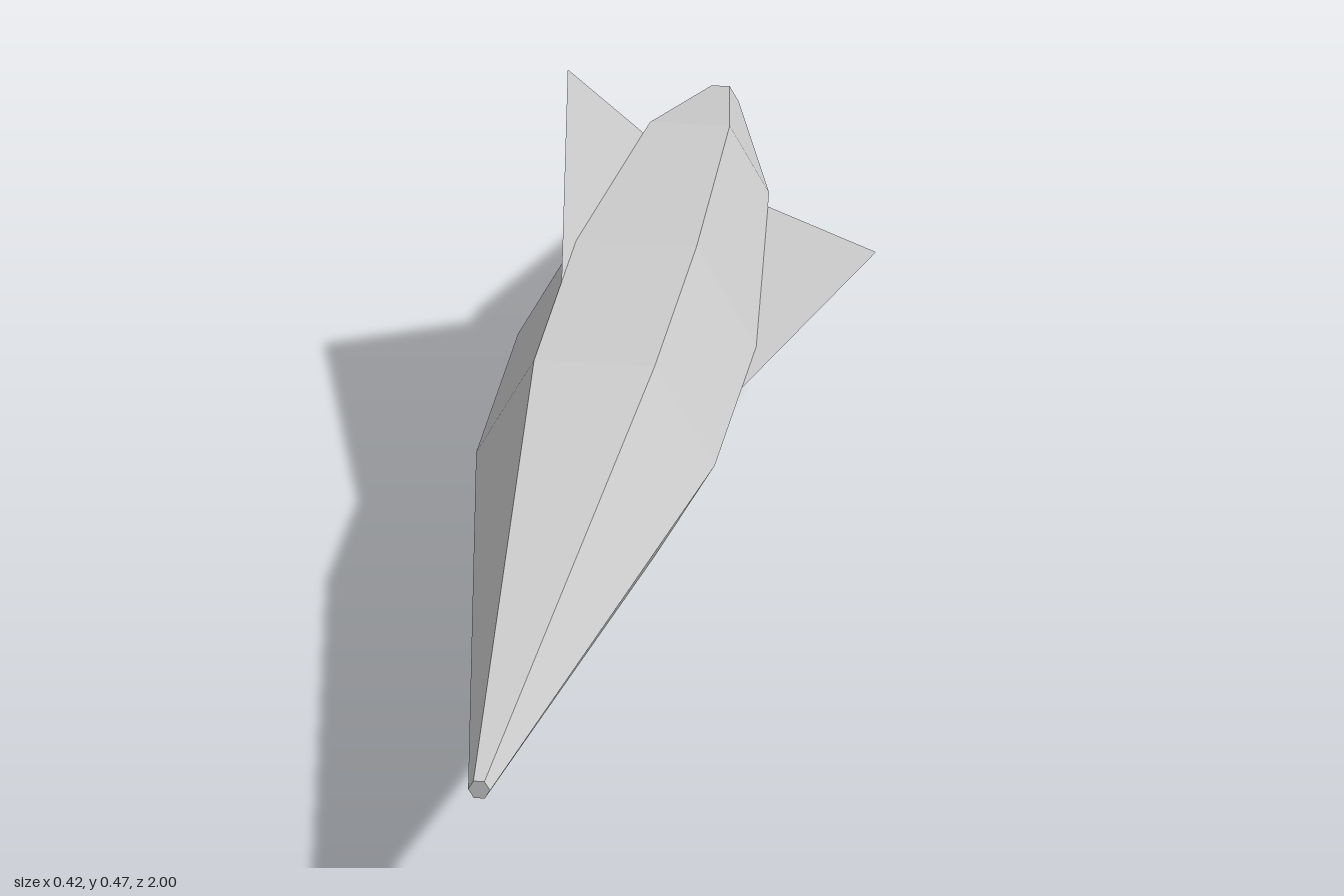
import * as THREE from 'three';

const AXIS_X = -0.062, AXIS_Y = 0.236;

export function createModel() {
  const model = new THREE.Group();
  model.name = 'rocketDart';

  const hullGrey = new THREE.MeshStandardMaterial({ color: 0xcccccc });
  hullGrey.name = 'hullGrey';
  hullGrey.flatShading = true;
  hullGrey.side = THREE.DoubleSide;

  // Six-sided hull: [radius, z] from tail to nose, closed at both ends
  const profile = [
    [0, -1], [0.026, -1], [0.108, -0.65], [0.149, -0.13],
    [0.14, 0.22], [0.011, 1], [0, 1],
  ].map(([r, z]) => new THREE.Vector2(r, z));
  const hullGeometry = new THREE.LatheGeometry(profile, 6, Math.PI / 6);
  hullGeometry.rotateX(Math.PI / 2);
  const hull = new THREE.Mesh(hullGeometry, hullGrey);
  hull.name = 'hull';
  hull.position.set(AXIS_X, AXIS_Y, 0);
  model.add(hull);

  // Three flat triangular fins, 120 degrees apart on the hull ridges
  const finShape = new THREE.Shape([
    new THREE.Vector2(0.145, 0),
    new THREE.Vector2(0.269, -0.457),
    new THREE.Vector2(0.111, -0.6),
  ]);
  const finGeometry = new THREE.ShapeGeometry(finShape).rotateX(Math.PI / 2);
  for (let i = 0; i < 3; i++) {
    const fin = new THREE.Mesh(finGeometry, hullGrey);
    fin.name = `fin${i + 1}`;
    fin.position.copy(hull.position);
    fin.rotation.z = (i * Math.PI * 2) / 3;
    model.add(fin);
  }
  return model;
}
